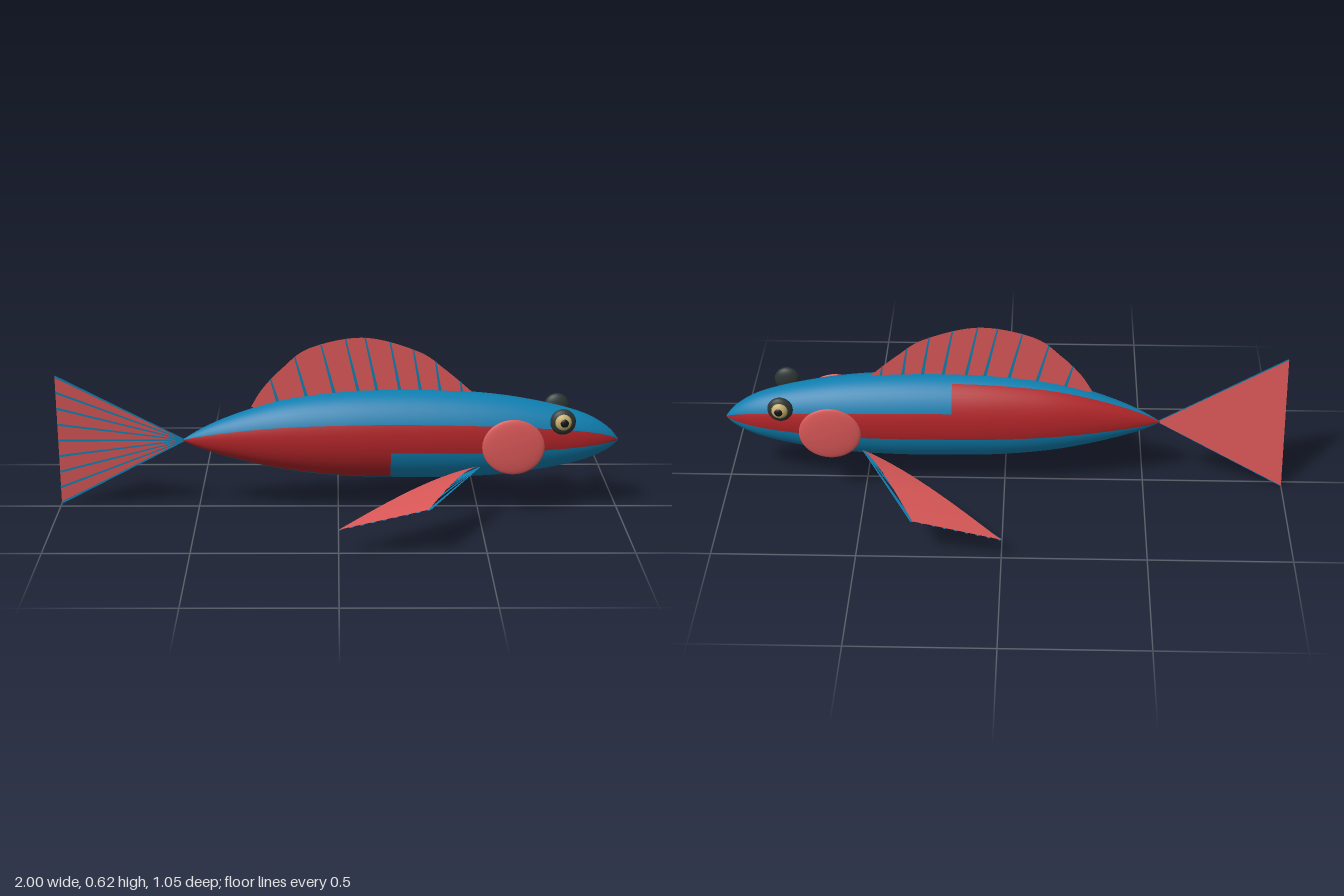
import * as THREE from 'three';

const mat = (name, color, double) => {
  const m = new THREE.MeshStandardMaterial({ color });
  m.name = name;
  if (double) m.side = THREE.DoubleSide;
  return m;
};
const V = (x, y, z) => new THREE.Vector3(x, y, z);

export function createModel() {
  const blue = mat('blue', 0x0f7fb0, true);
  const red = mat('red', 0xb02428);
  const pink = mat('finPink', 0xd95757, true);
  const dark = mat('eyeDark', 0x2c3634);
  const gold = mat('eyeGold', 0xc8b070);
  const black = mat('pupilBlack', 0x141414);

  const fish = new THREE.Group();
  fish.name = 'fish';
  const add = (name, geo, material, parent = fish) => {
    const m = new THREE.Mesh(geo, material);
    m.name = name;
    parent.add(m);
    return m;
  };

  // Surface from a function of u and v
  const grid = (f, nu, nv) => {
    const pos = [], idx = [];
    for (let i = 0; i <= nu; i++)
      for (let j = 0; j <= nv; j++) pos.push(...f(i / nu, j / nv).toArray());
    for (let i = 0; i < nu; i++)
      for (let j = 0; j < nv; j++) {
        const a = i * (nv + 1) + j, b = a + nv + 1;
        idx.push(a, b, b + 1, a, b + 1, a + 1);
      }
    const g = new THREE.BufferGeometry();
    g.setAttribute('position', new THREE.Float32BufferAttribute(pos, 3));
    g.setIndex(idx);
    g.computeVertexNormals();
    return g;
  };

  // Flat tapered fin ray from a to b, lying in the plane with the given normal
  const ray = (a, b, w0, w1, normal) => {
    const side = b.clone().sub(a).cross(normal).normalize();
    return grid((u, v) => a.clone().lerp(b, u)
      .addScaledVector(side, (v - 0.5) * (w0 + (w1 - w0) * u)), 1, 1);
  };

  // Body: elliptical rings along x, given as x, top and bottom
  const profile = new THREE.CatmullRomCurve3([
    [-0.555, 0.249, 0.245], [-0.5, 0.283, 0.22], [-0.4, 0.33, 0.188], [-0.2, 0.394, 0.142],
    [0, 0.423, 0.119], [0.185, 0.432, 0.113], [0.4, 0.428, 0.113], [0.6, 0.41, 0.125],
    [0.8, 0.37, 0.157], [0.9, 0.335, 0.185], [0.97, 0.288, 0.22], [1, 0.25, 0.247],
  ].map(p => V(...p)));
  const rings = 44, sides = 48, pos = [], faces = { blue: [], red: [] };
  for (let i = 0; i <= rings; i++) {
    const p = profile.getPoint(i / rings), c = (p.y + p.z) / 2, h = Math.max((p.y - p.z) / 2, 0.001);
    for (let j = 0; j < sides; j++) {
      const a = (j / sides) * Math.PI * 2;
      pos.push(p.x, c + h * Math.sin(a), 0.74 * h * Math.cos(a));
    }
  }
  // Red side stripe, with a wider patch towards the tail on each side
  const isRed = (i, j) => {
    const a = ((j + 0.5) / sides) * Math.PI * 2;
    const lift = THREE.MathUtils.radToDeg(Math.asin(Math.sin(a)));
    const front = Math.cos(a) > 0, rear = i < 20;
    const low = rear && front ? -67.5 : -15;
    const high = rear && !front ? 67.5 : 22.5;
    return lift > low && lift < high;
  };
  for (let i = 0; i < rings; i++)
    for (let j = 0; j < sides; j++) {
      const k = (j + 1) % sides, r = i * sides, s = r + sides;
      faces[isRed(i, j) ? 'red' : 'blue'].push(r + j, s + j, s + k, r + j, s + k, r + k);
    }
  const body = new THREE.BufferGeometry();
  body.setAttribute('position', new THREE.Float32BufferAttribute(pos, 3));
  body.setIndex([...faces.blue, ...faces.red]);
  body.addGroup(0, faces.blue.length, 0);
  body.addGroup(faces.blue.length, faces.red.length, 1);
  body.computeVertexNormals();
  add('body', body, [blue, red]);

  // Dorsal fin with slanted rays on both faces
  const crest = new THREE.SplineCurve([
    [-0.31, 0.37], [-0.27, 0.435], [-0.2, 0.51], [-0.1, 0.585], [0.09, 0.622],
    [0.28, 0.573], [0.38, 0.505], [0.48, 0.42],
  ].map(p => new THREE.Vector2(...p))).getPoints(80);
  const finShape = new THREE.Shape([
    ...crest, new THREE.Vector2(0.3, 0.4), new THREE.Vector2(0, 0.39), new THREE.Vector2(-0.25, 0.35),
  ]);
  add('dorsalFin', new THREE.ShapeGeometry(finShape), pink);
  for (let i = 0; i < 9; i++) {
    const top = crest.find(p => p.x >= -0.24 + i * 0.083);
    const drop = top.y - 0.37, lean = 0.3 - i * 0.02;
    for (const z of [-0.002, 0.002])
      add('dorsalRay', ray(V(top.x + drop * lean, 0.37, z), V(top.x, top.y, z), 0.013, 0.005, V(0, 0, 1)), blue);
  }

  // Tail fin: slightly twisted fan with rays
  const tailRoot = V(-0.545, 0.247, 0), tailTop = V(-1, 0.49, 0.03), tailLow = V(-1, 0.002, -0.03);
  const tailEdge = v => tailTop.clone().lerp(tailLow, v);
  add('tailFin', grid((u, v) => tailRoot.clone().lerp(tailEdge(v), u), 1, 8), pink);
  for (let i = 0; i <= 8; i++) {
    const lift = V(0, 0, 0.002);
    add('tailRay', ray(tailRoot.clone().add(lift), tailEdge(i / 8).add(lift), 0.004, 0.008, V(0, 0, 1)), blue);
  }

  for (const s of [1, -1]) {
    const half = new THREE.Group();
    half.name = s > 0 ? 'nearSide' : 'farSide';
    fish.add(half);

    // Pectoral fin: arched web above straight rays
    const root = V(0.5, 0.185, 0.118 * s);
    const edge = v => V(0.3 * v, 0.09 + 0.07 * v, 0.522 * s);
    add('pectoralFin', grid((u, v) => {
      const p = root.clone().lerp(edge(v), u);
      p.y += 0.026 * Math.sin(Math.PI * Math.pow(u, 0.8));
      return p;
    }, 14, 8), pink, half);
    const normal = edge(0).sub(root).cross(edge(1).sub(root)).normalize();
    for (let i = 0; i <= 8; i++) {
      const lift = V(0, -0.002, 0);
      add('pectoralRay', ray(root.clone().add(lift), edge(i / 8).add(lift), 0.004, 0.014, normal), blue, half);
    }

    // Gill cover and eye: flattened spheres
    const blob = (name, x, y, z, rx, ry, rz, material) => {
      const m = add(name, new THREE.SphereGeometry(1, 32, 20), material, half);
      m.position.set(x, y, z * s);
      m.scale.set(rx, ry, rz);
    };
    blob('gillCover', 0.615, 0.256, 0.122, 0.11, 0.1, 0.014, pink);
    blob('eyeSocket', 0.788, 0.344, 0.107, 0.045, 0.046, 0.021, dark);
    blob('eyeIris', 0.788, 0.346, 0.122, 0.029, 0.029, 0.016, gold);
    blob('eyePupil', 0.79, 0.346, 0.132, 0.016, 0.016, 0.009, black);
  }
  return fish;
}
